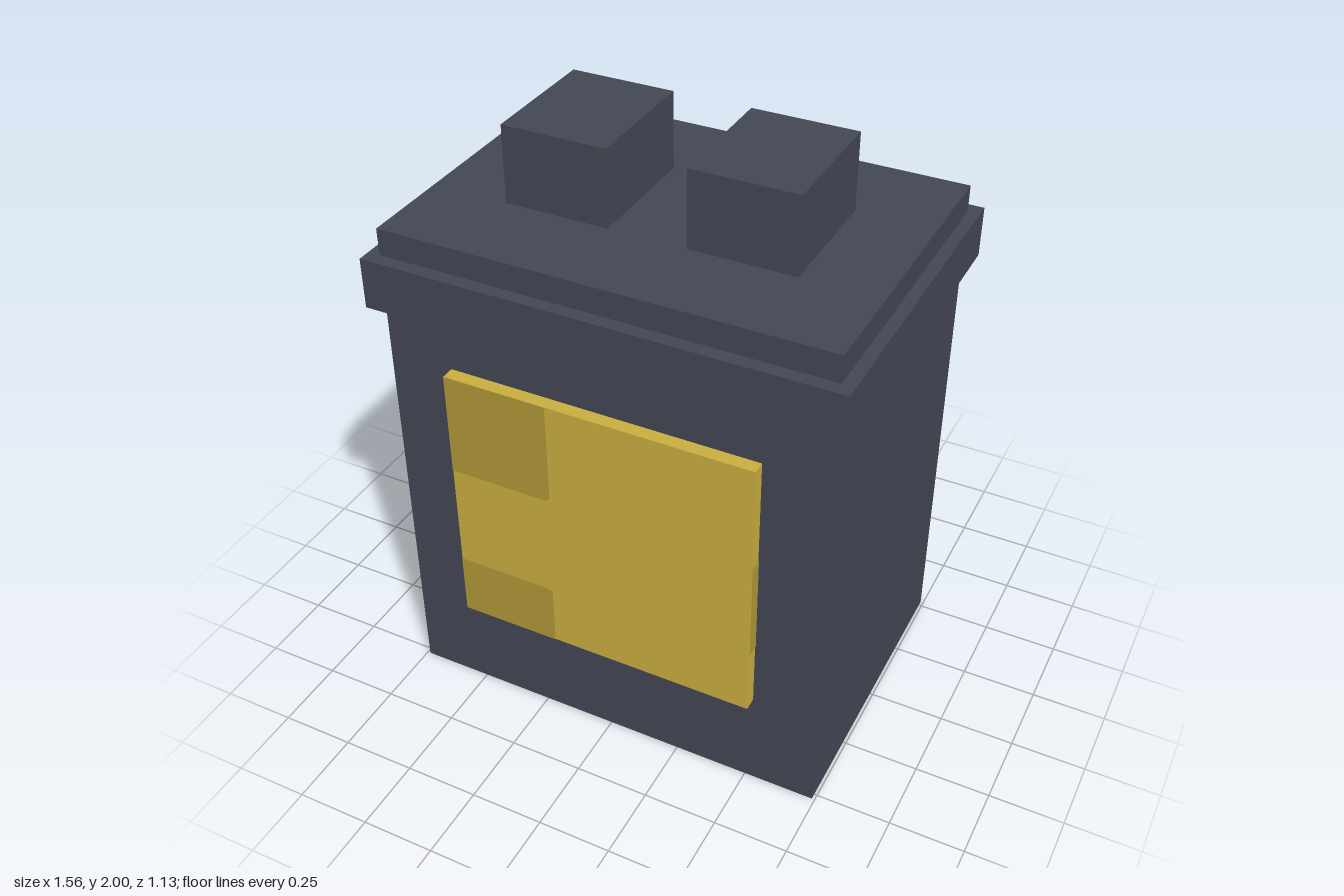
import * as THREE from 'three';

export function createModel() {
  const mat = (name, color) => {
    const m = new THREE.MeshStandardMaterial({ color });
    m.name = name;
    return m;
  };
  const slate = mat('slate casing', 0x434753);
  const yellow = mat('label yellow', 0xc9ae40);
  const ochre = mat('label ochre', 0xb09838);
  const pale = mat('label pale tan', 0xc9ba80);

  const model = new THREE.Group();
  model.name = 'battery';

  // Box given by its x, y and z extents
  const box = (name, material, [x0, x1], [y0, y1], [z0, z1]) => {
    const mesh = new THREE.Mesh(new THREE.BoxGeometry(x1 - x0, y1 - y0, z1 - z0), material);
    mesh.position.set((x0 + x1) / 2, (y0 + y1) / 2, (z0 + z1) / 2);
    mesh.name = name;
    model.add(mesh);
    return mesh;
  };

  // Flat patch with corner radii: bottom left, bottom right, top right, top left
  const patch = (name, material, [x0, x1], [y0, y1], [bl, br, tr, tl]) => {
    const s = new THREE.Shape();
    s.moveTo(x0 + bl, y0);
    s.lineTo(x1 - br, y0);
    if (br) s.quadraticCurveTo(x1, y0, x1, y0 + br);
    s.lineTo(x1, y1 - tr);
    if (tr) s.quadraticCurveTo(x1, y1, x1 - tr, y1);
    s.lineTo(x0 + tl, y1);
    if (tl) s.quadraticCurveTo(x0, y1, x0, y1 - tl);
    s.lineTo(x0, y0 + bl);
    if (bl) s.quadraticCurveTo(x0, y0, x0 + bl, y0);
    const mesh = new THREE.Mesh(new THREE.ShapeGeometry(s, 4), material);
    mesh.name = name;
    model.add(mesh);
    return mesh;
  };

  // Casing: body, wide collar and lid
  box('body', slate, [-0.74, 0.74], [0, 1.48], [-0.52, 0.52]);
  box('collar', slate, [-0.78, 0.78], [1.48, 1.65], [-0.565, 0.565]);
  box('lid', slate, [-0.74, 0.74], [1.65, 1.74], [-0.52, 0.52]);

  // Two terminals
  box('leftTerminal', slate, [0.13, 0.48], [1.74, 2], [-0.215, 0.215]);
  box('rightTerminal', slate, [-0.48, -0.13], [1.74, 2], [-0.215, 0.215]);

  // Raised labels; faces in order +x, -x, +y, -y, +z, -z
  const lx = [-0.52, 0.52], ly = [0.355, 1.305];
  box('frontLabel', [yellow, pale, yellow, yellow, yellow, yellow], lx, ly, [0.52, 0.565]);
  box('backLabel', [pale, yellow, pale, yellow, pale, pale], lx, ly, [-0.565, -0.52]);

  // Painted patches on the label faces
  const r = 0.02, lift = 0.567;
  patch('frontUpperPatch', ochre, [-0.52, -0.165], [0.945, 1.305], [0, r, 0, 0]).position.z = lift;
  patch('frontLowerPatch', ochre, [-0.52, -0.175], [0.355, 0.575], [0, 0, r, 0]).position.z = lift;
  const back = patch('backPatch', yellow, [-0.16, 0.2], [0.355, 0.58], [0, 0, 0.035, 0.035]);
  back.rotation.y = Math.PI;
  back.position.z = -lift;

  // Painted patches on the label edges
  for (const side of [1, -1]) {
    const edge = patch('labelEdgePatch', ochre, [-0.0225, 0.0225], [0.59, 0.94], [0, 0, 0, 0]);
    edge.rotation.y = side * Math.PI / 2;
    edge.position.set(side * 0.522, 0, side * 0.5425);
  }

  return model;
}
